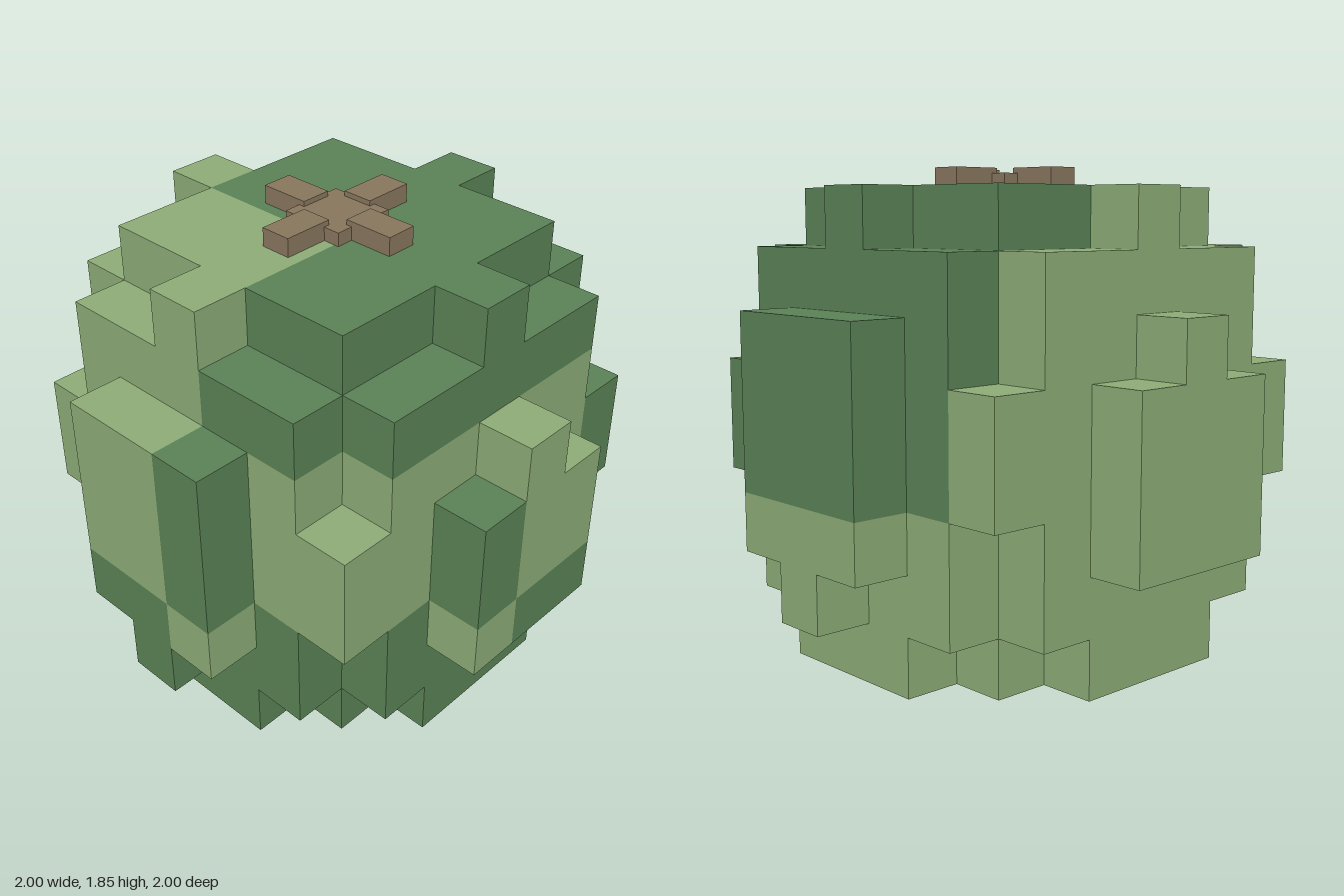
import * as THREE from 'three';

const CELL = 2 / 9; // block edge length

export function createModel() {
  const model = new THREE.Group();
  model.name = 'blockMelon';

  const material = (name, color) => {
    const m = new THREE.MeshStandardMaterial({ color });
    m.name = name;
    return m;
  };
  const light = material('lightGreenRind', 0x8cab76);
  const dark = material('darkGreenRind', 0x5a8256);
  const brown = material('brownStem', 0x87765d);

  // Box spanning [x0, x1] x [y0, y1] x [z0, z1]
  const box = (parent, name, mat, x0, x1, y0, y1, z0, z1) => {
    const mesh = new THREE.Mesh(new THREE.BoxGeometry(x1 - x0, y1 - y0, z1 - z0), mat);
    mesh.position.set((x0 + x1) / 2, (y0 + y1) / 2, (z0 + z1) / 2);
    mesh.name = name;
    parent.add(mesh);
  };

  // Part made of boxes in block units: x and z run 0..9, y runs 0..8
  const part = (name, blocks) => {
    const group = new THREE.Group();
    group.name = name;
    blocks.forEach(([mat, x0, x1, y0, y1, z0, z1]) =>
      box(group, name + (mat === light ? 'Light' : 'Dark'), mat,
        (x0 - 4.5) * CELL, (x1 - 4.5) * CELL, y0 * CELL, y1 * CELL,
        (z0 - 4.5) * CELL, (z1 - 4.5) * CELL));
    model.add(group);
  };

  // Crown layer with a one-block nub on each side
  part('crown', [
    [light, 2, 4, 7, 8, 2, 5],
    [dark, 4, 7, 7, 8, 2, 5],
    [dark, 2, 7, 7, 8, 5, 7],
    [light, 1, 2, 7, 8, 4, 5],
    [dark, 7, 8, 7, 8, 4, 5],
    [dark, 4, 5, 7, 8, 7, 8],
    [light, 4, 5, 7, 8, 1, 2],
  ]);

  // Base layer with a three-block nub on each side
  part('base', [
    [light, 4, 7, 0, 1, 2, 5],
    [dark, 2, 4, 0, 1, 2, 5],
    [dark, 2, 7, 0, 1, 5, 7],
    [dark, 1, 2, 0, 1, 3, 6],
    [light, 7, 8, 0, 1, 3, 6],
    [dark, 3, 6, 0, 1, 7, 8],
    [light, 3, 6, 0, 1, 1, 2],
  ]);

  // Four walls of the body
  part('frontWall', [
    [dark, 2, 7, 1, 3, 7, 8],
    [light, 2, 7, 3, 6, 7, 8],
    [dark, 2, 7, 6, 7, 7, 8],
  ]);
  part('backWall', [[light, 2, 7, 1, 7, 1, 2]]);
  part('leftWall', [
    [light, 7, 8, 1, 3, 2, 7],
    [dark, 7, 8, 3, 7, 2, 7],
  ]);
  part('rightWall', [
    [dark, 1, 2, 1, 3, 2, 7],
    [light, 1, 2, 3, 6, 2, 7],
    [light, 1, 2, 6, 7, 2, 5],
    [dark, 1, 2, 6, 7, 5, 7],
  ]);

  // Short columns filling the corners at mid height
  part('cornerColumns', [
    [dark, 7, 8, 3, 5, 7, 8],
    [light, 1, 2, 3, 5, 7, 8],
    [light, 7, 8, 3, 5, 1, 2],
    [light, 1, 2, 3, 5, 1, 2],
  ]);

  // Raised bulges: front and back have a nub above, the sides a nub below
  part('frontBulge', [
    [dark, 3, 4, 3, 5, 8, 9],
    [light, 3, 4, 2, 3, 8, 9],
    [light, 4, 6, 3, 5, 8, 9],
    [dark, 4, 6, 2, 3, 8, 9],
    [light, 4, 5, 5, 6, 8, 9],
  ]);
  part('backBulge', [
    [light, 3, 6, 2, 5, 0, 1],
    [light, 4, 5, 5, 6, 0, 1],
  ]);
  part('leftBulge', [
    [dark, 8, 9, 3, 6, 3, 6],
    [light, 8, 9, 2, 3, 3, 6],
    [light, 8, 9, 1, 2, 4, 5],
  ]);
  part('rightBulge', [
    [light, 0, 1, 3, 6, 3, 5],
    [dark, 0, 1, 2, 3, 3, 5],
    [dark, 0, 1, 3, 6, 5, 6],
    [light, 0, 1, 2, 3, 5, 6],
    [dark, 0, 1, 1, 2, 4, 5],
  ]);

  // Stem: square hub with four arms
  const stem = new THREE.Group();
  stem.name = 'stem';
  const top = 8 * CELL;
  box(stem, 'stemHub', brown, -0.13, 0.13, top, 1.83, -0.13, 0.13);
  for (let i = 0; i < 4; i++) {
    const arm = new THREE.Group();
    arm.name = 'stemArm';
    box(arm, 'stemArmBlock', brown, 0.105, 0.308, top, 1.85, -0.062, 0.062);
    arm.rotation.y = i * Math.PI / 2;
    stem.add(arm);
  }
  model.add(stem);

  return model;
}
